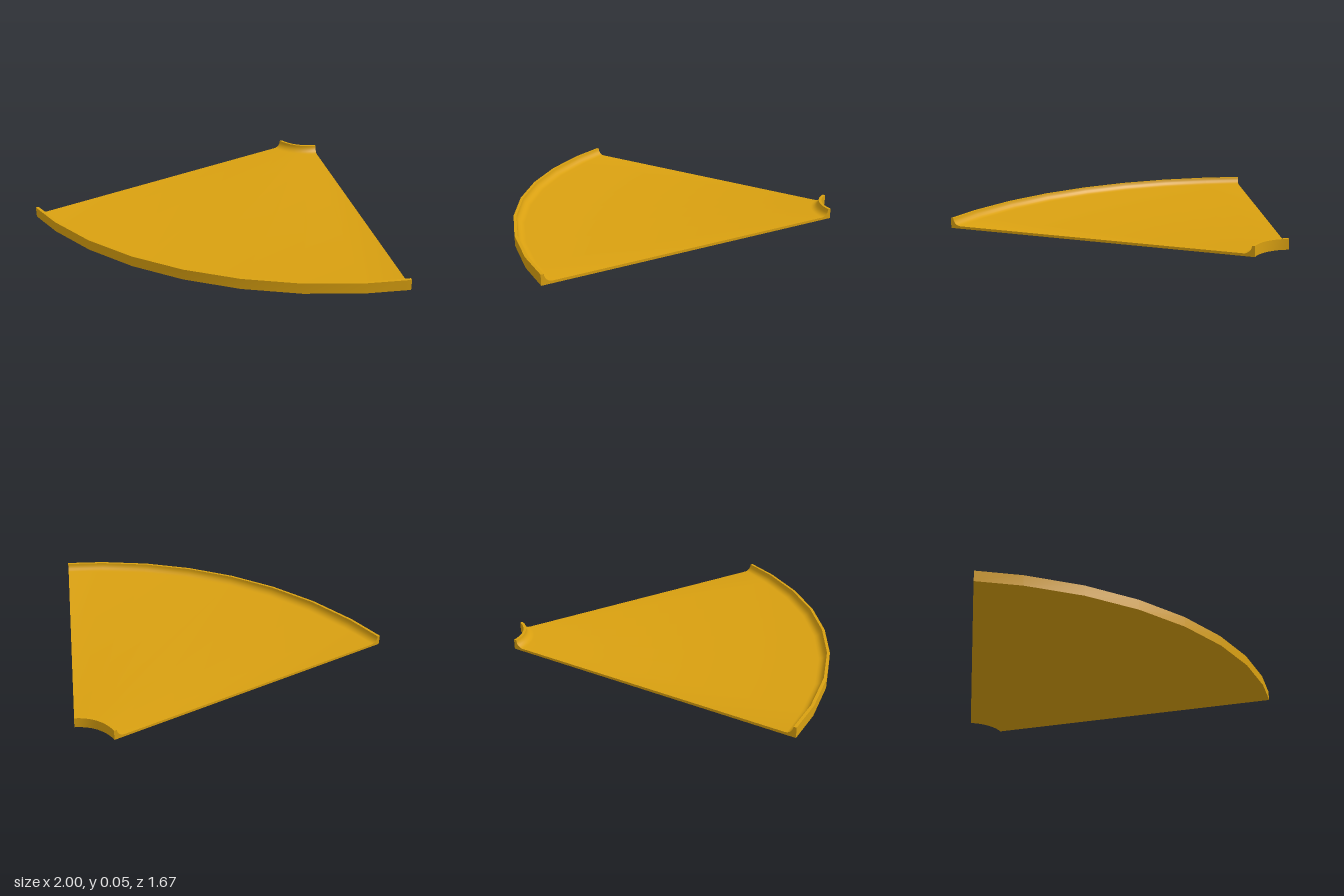
import * as THREE from 'three';
import { toCreasedNormals } from 'three/addons/utils/BufferGeometryUtils.js';

const HALF = THREE.MathUtils.degToRad(33);
const R_IN = 0.2, R_OUT = 1 / Math.sin(HALF);
const CENTRE_Z = -0.835 - R_IN * Math.cos(HALF);
const HEIGHT = 0.053, FLOOR = 0.013, LIP = 0.015, FILLET = HEIGHT - FLOOR;

// Radial cross-section: thin floor with a filleted lip at each end
function sectionProfile() {
  const steps = 6, pts = [[R_IN, 0], [R_OUT, 0], [R_OUT, HEIGHT]];
  const arc = (t) => [FILLET * (1 - Math.cos(t)), HEIGHT - FILLET * Math.sin(t)];
  for (let i = 0; i <= steps; i++) {
    const [d, y] = arc((i / steps) * Math.PI / 2);
    pts.push([R_OUT - LIP - d, y]);
  }
  for (let i = steps; i >= 0; i--) {
    const [d, y] = arc((i / steps) * Math.PI / 2);
    pts.push([R_IN + LIP + d, y]);
  }
  pts.push([R_IN, HEIGHT]);
  return pts;
}

// Sweep the closed profile around the vertical axis and cap both straight sides
function sweepSector(profile, angles) {
  const n = profile.length, pos = [], index = [];
  for (const a of angles)
    for (const [r, y] of profile) pos.push(r * Math.sin(a), y, CENTRE_Z + r * Math.cos(a));
  for (let s = 0; s < angles.length - 1; s++)
    for (let i = 0; i < n; i++) {
      const j = (i + 1) % n, p = s * n, q = p + n;
      index.push(p + i, q + i, q + j, p + i, q + j, p + j);
    }
  const end = (angles.length - 1) * n;
  const caps = THREE.ShapeUtils.triangulateShape(profile.map(([r, y]) => new THREE.Vector2(r, y)), []);
  for (const [a, b, c] of caps) index.push(a, b, c, end + a, end + c, end + b);
  const g = new THREE.BufferGeometry();
  g.setAttribute('position', new THREE.Float32BufferAttribute(pos, 3));
  g.setIndex(index);
  return toCreasedNormals(g, 0.45);
}

export function createModel() {
  const group = new THREE.Group();
  group.name = 'traySector';

  // Even facets from the middle, with a shorter one at each end
  const angles = [];
  const step = THREE.MathUtils.degToRad(8.75);
  for (let i = -3; i <= 3; i++) angles.push(i * step);
  angles.unshift(-HALF);
  angles.push(HALF);

  const tray = new THREE.Mesh(
    sweepSector(sectionProfile(), angles),
    new THREE.MeshStandardMaterial({ color: 0xd9a010 })
  );
  tray.name = 'lippedWedgePlate';
  group.add(tray);
  return group;
}
